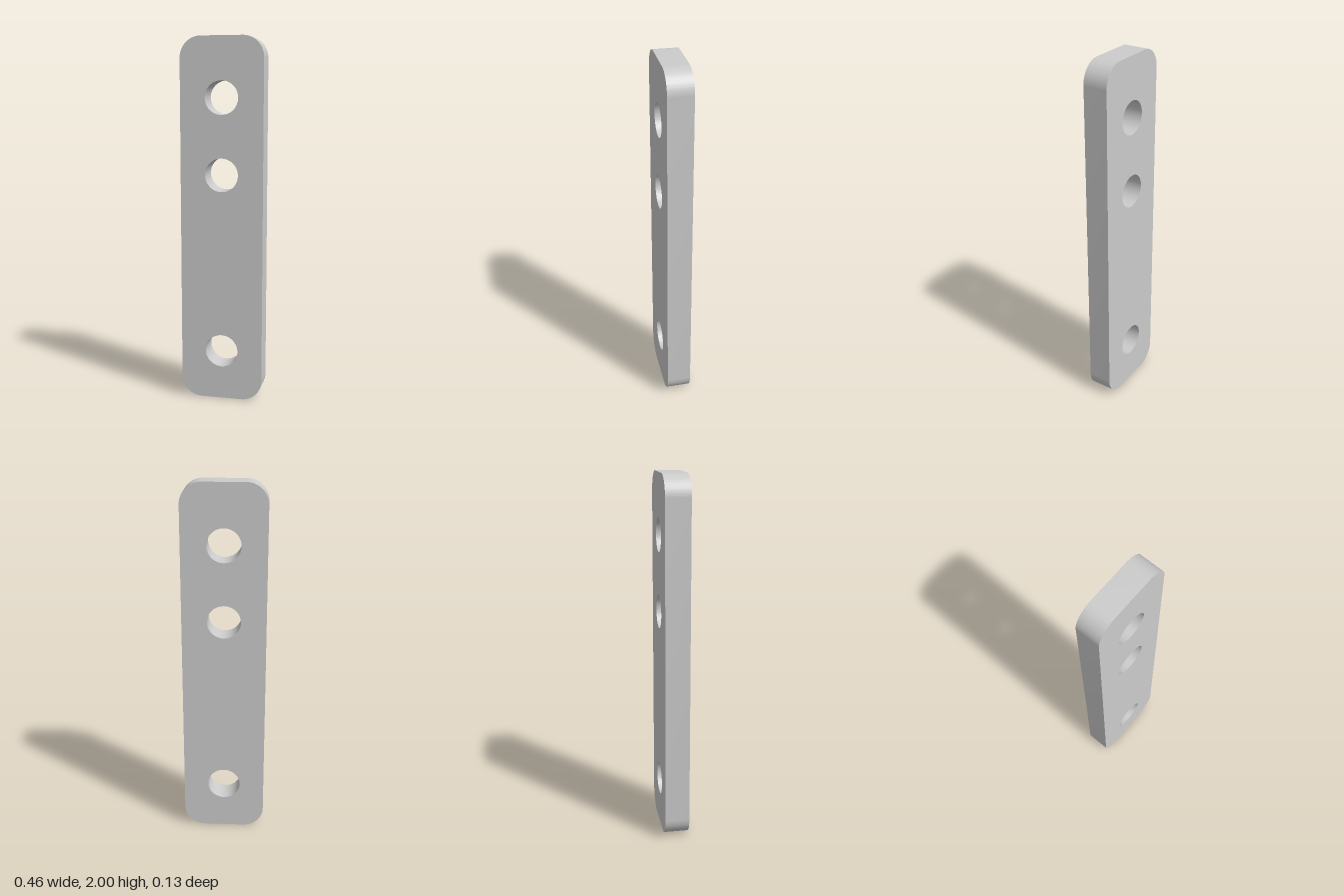
import * as THREE from 'three';
import { toCreasedNormals } from 'three/addons/utils/BufferGeometryUtils.js';

const HALF_WIDTH = 0.228;
const HEIGHT = 2;
const DEPTH = 0.134;
const CORNER = 0.115;
const HOLE_RADIUS = 0.091;
const HOLE_HEIGHTS = [0.276, 1.263, 1.677];

// Upright rectangle with rounded corners, standing on y = 0
function plateOutline(w, h, r) {
  const s = new THREE.Shape();
  s.absarc(w - r, r, r, -Math.PI / 2, 0, false);
  s.absarc(w - r, h - r, r, 0, Math.PI / 2, false);
  s.absarc(r - w, h - r, r, Math.PI / 2, Math.PI, false);
  s.absarc(r - w, r, r, Math.PI, Math.PI * 1.5, false);
  s.closePath();
  return s;
}

export function createModel() {
  const group = new THREE.Group();
  group.name = 'mountingPlate';

  const outline = plateOutline(HALF_WIDTH, HEIGHT, CORNER);

  // Three round through-holes on the centre line
  for (const y of HOLE_HEIGHTS) {
    outline.holes.push(new THREE.Path().absarc(0, y, HOLE_RADIUS, 0, Math.PI * 2, true));
  }

  // Flat faces with sharp rims, smooth corners and bores
  const extruded = new THREE.ExtrudeGeometry(outline, {
    depth: DEPTH, bevelEnabled: false, curveSegments: 24,
  });
  extruded.translate(0, 0, -DEPTH / 2);
  const plate = new THREE.Mesh(
    toCreasedNormals(extruded, Math.PI / 6),
    new THREE.MeshStandardMaterial({ color: 0xcccccc }),
  );
  plate.name = 'plate';
  group.add(plate);

  return group;
}
